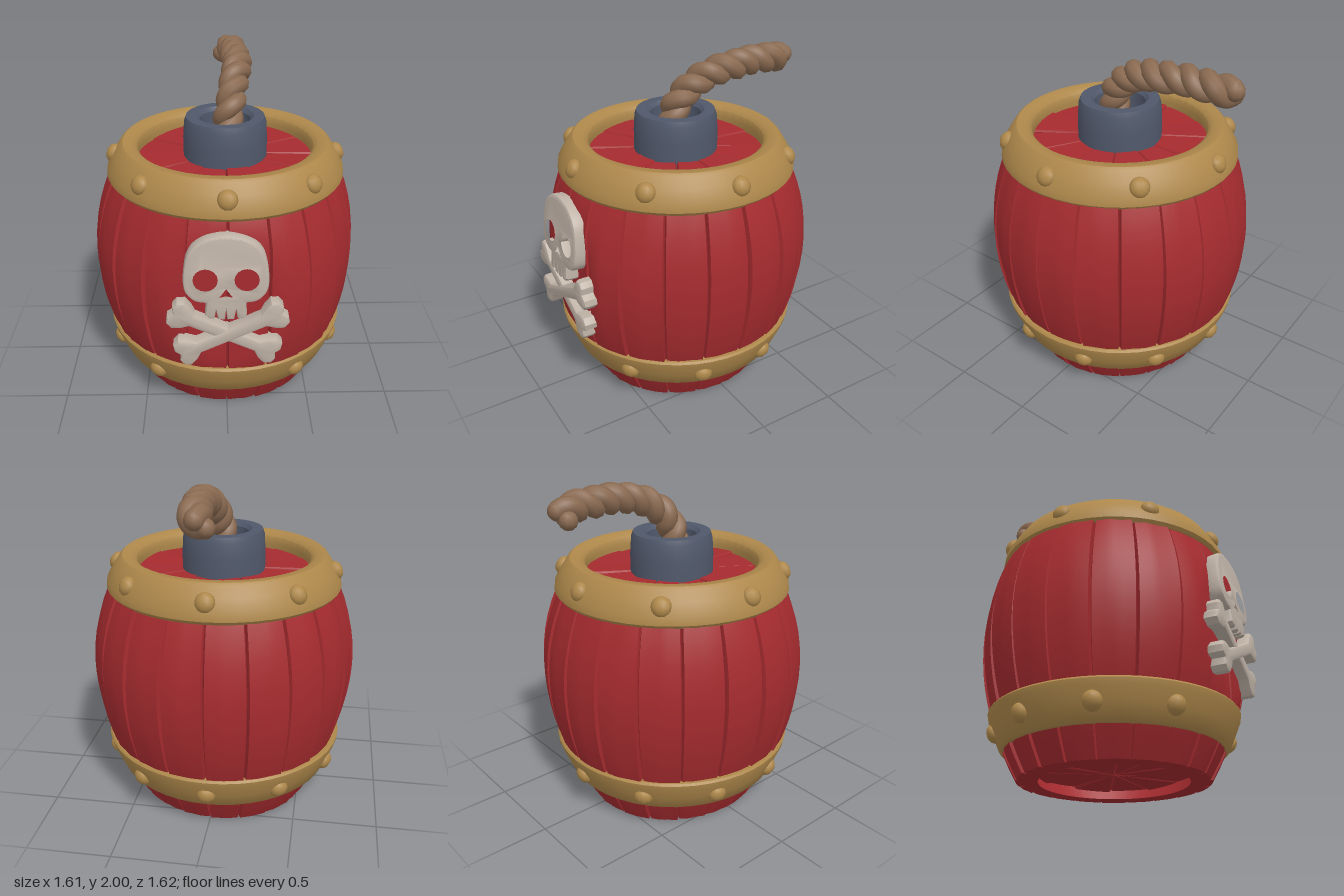
import * as THREE from 'three';
import { toCreasedNormals } from 'three/addons/utils/BufferGeometryUtils.js';

const material = (name, color) => {
  const m = new THREE.MeshStandardMaterial({ color });
  m.name = name;
  return m;
};
const v2 = (pts) => pts.map(([x, y]) => new THREE.Vector2(x, y));

export function createModel() {
  const red = material('red painted wood', 0xa52b2f);
  const brass = material('brass', 0xae884b);
  const iron = material('dark iron', 0x50586a);
  const hemp = material('hemp rope', 0x8a6a51);
  const bone = material('bone', 0xbfb2a6);

  const model = new THREE.Group();
  model.name = 'barrelBomb';
  const add = (name, geometry, mat, crease = 0.6, parent = model) => {
    const mesh = new THREE.Mesh(toCreasedNormals(geometry, crease), mat);
    mesh.name = name;
    parent.add(mesh);
    return mesh;
  };
  const group = (name) => {
    const g = new THREE.Group();
    g.name = name;
    model.add(g);
    return g;
  };

  // Bulging staves: boxes bent round the barrel, edges sunk to form grooves,
  // with the front flattened behind the emblem
  const STAVES = 20, HEIGHT = 1.42, STEP = (Math.PI * 2) / STAVES;
  const bulge = (y) => 0.803 - (y < 0.85 ? 0.34 : 0.45) * (y - 0.85) ** 2;
  const staves = group('staves');
  for (let i = 0; i < STAVES; i++) {
    const g = new THREE.BoxGeometry(1, HEIGHT, 1, 6, 16, 1);
    const p = g.attributes.position;
    for (let k = 0; k < p.count; k++) {
      let u = p.getX(k);
      const y = p.getY(k) + HEIGHT / 2;
      const edge = Math.abs(u) > 0.49;
      if (!edge && Math.abs(u) > 0.3) u *= 1.38;
      const a = (i + 0.5 + u) * STEP;
      let r = bulge(y);
      if (Math.cos(a) > 0.5) r = Math.min(r, 0.728 / Math.cos(a));
      if (p.getZ(k) < 0) r -= 0.12;
      else if (edge) r -= 0.03;
      else r += 0.007 * Math.sin(i * 7 + u * 40 + y * 3) - 0.004 * (1 + Math.sin(i * 5));
      p.setXYZ(k, r * Math.sin(a), y, r * Math.cos(a));
    }
    add('stave', g, red, 0.6, staves);
  }

  // Recessed lid and base, each made of bevelled wedges
  const wedges = (name, radius, y, flip) => {
    const g = group(name);
    const n = 12, half = Math.PI / n;
    for (let i = 0; i < n; i++) {
      const s = new THREE.Shape();
      s.moveTo(0, 0);
      for (let k = -2; k <= 2; k++) {
        s.lineTo(radius * Math.cos((k * half) / 2), radius * Math.sin((k * half) / 2));
      }
      const geo = new THREE.ExtrudeGeometry(s, {
        depth: 0.04, bevelThickness: 0.012, bevelSize: 0.01, bevelOffset: -0.01, bevelSegments: 1,
      });
      geo.rotateX(flip ? Math.PI / 2 : -Math.PI / 2);
      geo.rotateZ((flip ? 0.015 : -0.015) * (1 + Math.sin(i * 4)));
      geo.rotateX(0.06 * Math.sin(i * 9));
      geo.rotateY((2 * i + 1) * half);
      add('wedge', geo, red, 0.4, g).position.y = y;
    }
  };
  wedges('lid', 0.57, 1.385, false);
  wedges('base', 0.46, 0.1, true);

  // Brass hoops
  const lathe = (name, pts, mat, segments = 48) =>
    add(name, new THREE.LatheGeometry(v2(pts), segments), mat, 0.7);
  lathe('upperHoop', [[0.57, 1.33], [0.695, 1.325], [0.71, 1.345], [0.705, 1.39], [0.665, 1.46],
    [0.625, 1.52], [0.61, 1.532], [0.555, 1.528], [0.525, 1.505], [0.515, 1.46], [0.53, 1.37]], brass);
  lathe('lowerHoop', [[0.58, 0.165], [0.65, 0.16], [0.67, 0.175], [0.707, 0.26], [0.74, 0.34],
    [0.745, 0.37], [0.735, 0.382], [0.64, 0.38]], brass);

  // Domed rivets round each hoop
  const rivets = (name, count, first, radius, y, tilt) => {
    const g = group(name);
    for (let i = first; i < count; i++) {
      const geo = new THREE.SphereGeometry(0.057, 10, 8);
      geo.scale(1, 1, 0.75);
      geo.rotateX(tilt);
      geo.translate(0, y, radius);
      geo.rotateY((i / count) * Math.PI * 2);
      add('rivet', geo, brass, 0.9, g);
    }
  };
  rivets('upperRivets', 8, 0, 0.67, 1.44, -0.45);
  rivets('lowerRivets', 10, 1, 0.7, 0.26, 0.4);

  // Iron fuse socket
  lathe('fuseSocket', [[0.25, 1.38], [0.25, 1.54], [0.243, 1.64], [0.232, 1.672], [0.17, 1.672],
    [0.15, 1.65], [0.145, 1.5], [0, 1.5]], iron, 32);

  // Fuse: two strands twisted round a curved path
  const path = new THREE.CatmullRomCurve3([
    [0, 1.49, 0.04], [0.01, 1.62, 0.03], [0.03, 1.73, 0], [0.05, 1.82, -0.09], [0.07, 1.875, -0.2],
    [0.08, 1.9, -0.35], [0.06, 1.905, -0.5], [0.06, 1.9, -0.63], [0.01, 1.875, -0.74],
  ].map((c) => new THREE.Vector3(...c)));
  const N = 100, TURNS = 4.6;
  const frames = path.computeFrenetFrames(N);
  const fuse = group('fuse');
  for (const phase of [0, Math.PI]) {
    const pts = [];
    for (let i = 0; i <= N; i++) {
      const a = phase + (i / N) * TURNS * Math.PI * 2;
      pts.push(path.getPointAt(i / N)
        .addScaledVector(frames.normals[i], 0.037 * Math.cos(a))
        .addScaledVector(frames.binormals[i], 0.037 * Math.sin(a)));
    }
    const curve = new THREE.CatmullRomCurve3(pts);
    add('strand', new THREE.TubeGeometry(curve, 130, 0.055, 9), hemp, 0.9, fuse);
    add('strandEnd', new THREE.SphereGeometry(0.055, 9, 7), hemp, 0.9, fuse).position.copy(pts[N]);
  }

  // Emblem: skull plate with open eyes and nose, over crossed bones
  const plate = { depth: 0.06, bevelThickness: 0.02, bevelSize: 0.018, bevelOffset: -0.018,
    bevelSegments: 2, curveSegments: 8 };
  const skull = new THREE.Shape();
  skull.moveTo(-0.11, 0.875);
  skull.splineThru(v2([[-0.175, 0.89], [-0.225, 0.95], [-0.23, 1.06], [-0.2, 1.18], [-0.12, 1.25],
    [0, 1.275], [0.12, 1.25], [0.2, 1.18], [0.23, 1.06], [0.225, 0.95], [0.175, 0.89], [0.11, 0.875]]));
  for (const [x, y] of [[0.115, 0.8], [0.095, 0.78], [0.062, 0.78], [0.055, 0.83], [0.045, 0.775],
    [0.006, 0.772], [0, 0.83], [-0.006, 0.772], [-0.045, 0.775], [-0.055, 0.83], [-0.062, 0.78],
    [-0.095, 0.78], [-0.115, 0.8]]) skull.lineTo(x, y);
  skull.closePath();
  for (const side of [-1, 1]) {
    const eye = new THREE.Path();
    eye.absellipse(side * 0.112, 1.018, 0.086, 0.084, 0, Math.PI * 2, true);
    skull.holes.push(eye);
  }
  skull.holes.push(new THREE.Path(v2([[0, 0.99], [0.06, 0.9], [0, 0.905], [-0.06, 0.9]])));
  const skullGeo = new THREE.ExtrudeGeometry(skull, plate);
  skullGeo.translate(0, -0.85, 0);
  skullGeo.rotateX(-0.09);
  add('skull', skullGeo, bone, 0.7).position.set(-0.01, 0.85, 0.728);

  // One half of the bone outline, turned half a circle for the other
  const end = [[-0.2, 0.037], [0.2, 0.037], [0.24, 0.07], [0.285, 0.09], [0.325, 0.072],
    [0.335, 0.035], [0.315, 0], [0.335, -0.035], [0.325, -0.072], [0.285, -0.09], [0.24, -0.07]];
  const outline = [...end, ...end.map(([x, y]) => [-x, -y])].reverse();
  const bones = group('crossedBones');
  for (const side of [-1, 1]) {
    const mesh = add('bone', new THREE.ExtrudeGeometry(new THREE.Shape(v2(outline)), plate), bone, 0.7, bones);
    mesh.position.set(side * 0.018, 0.672, 0.722 + side * 0.004);
    mesh.rotation.z = side * 0.445;
  }

  return model;
}
